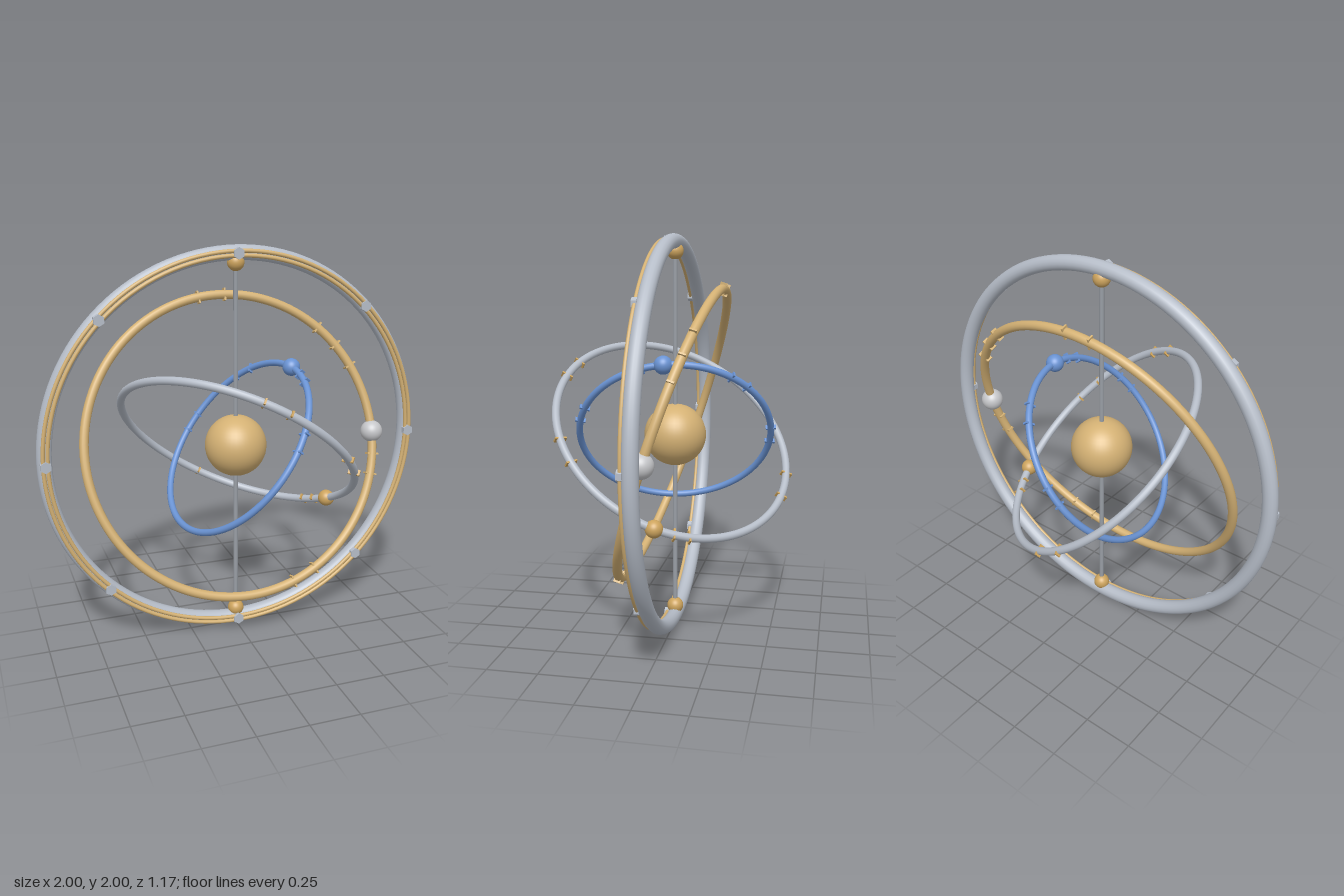
import * as THREE from 'three';

const mat = (name, color) => Object.assign(new THREE.MeshStandardMaterial({ color }), { name });
const rad = THREE.MathUtils.degToRad;

export function createModel() {
  const silver = mat('silver', 0xb6bdc8);
  const gold = mat('gold', 0xd4b174);
  const amber = mat('amber', 0xcda45e);
  const blue = mat('blue', 0x6a93d3);
  const pearl = mat('pearl', 0xc6c7ca);
  const steel = mat('steel', 0x989da4);

  const model = new THREE.Group();
  model.name = 'armillaryOrrery';
  const core = new THREE.Group();
  core.name = 'core';
  core.position.set(0, 1, 0.003);
  model.add(core);

  const add = (parent, name, geometry, material, x = 0, y = 0, z = 0) => {
    const mesh = new THREE.Mesh(geometry, material);
    mesh.name = name;
    mesh.position.set(x, y, z);
    parent.add(mesh);
    return mesh;
  };
  const ball = (r) => new THREE.SphereGeometry(r, 40, 24);
  const torus = (R, r) => new THREE.TorusGeometry(R, r, 16, 128);

  // Outer frame with two raised trim bands on its front
  add(core, 'outerFrame', torus(0.963, 0.037), silver);
  for (const R of [0.951, 0.973]) add(core, 'frameTrim', torus(R, 0.01), gold, 0, 0, 0.039);

  // Eight hexagonal studs over the trim
  const hex = new THREE.CylinderGeometry(0.029, 0.029, 0.025, 6).toNonIndexed();
  hex.computeVertexNormals();
  hex.rotateX(Math.PI / 2);
  for (let i = 0; i < 8; i++) {
    const a = (i * Math.PI) / 4;
    add(core, 'frameStud', hex, silver, 0.962 * Math.cos(a), 0.962 * Math.sin(a), 0.042);
  }

  // Axis rod, its end bearings and the central sun
  add(core, 'axisRod', new THREE.CylinderGeometry(0.012, 0.012, 1.86, 20), steel);
  for (const s of [-1, 1]) add(core, 'axisBearing', ball(0.042), amber, 0, s * 0.916, 0);
  add(core, 'sun', ball(0.157), gold);

  // Tilted orbit ring with a planet on its horizontal axis and paired tick marks
  const orbit = (name, o) => {
    const ring = new THREE.Group();
    ring.name = name;
    ring.rotation.set(rad(o.tilt), 0, rad(o.turn), 'ZXY');
    core.add(ring);
    add(ring, name + 'Band', torus(o.R, o.tube), o.material);
    add(ring, name + 'Planet', ball(o.planet), o.planetMaterial, o.R, 0, 0);
    const tick = new THREE.BoxGeometry(2 * o.tube + 0.018, 0.009, o.tube * 1.5);
    for (const deg of o.ticks) {
      const a = rad(deg);
      const m = add(ring, name + 'Tick', tick, o.tickMaterial, o.R * Math.cos(a), o.R * Math.sin(a), 0);
      m.rotation.z = a;
    }
  };

  orbit('outerOrbit', {
    R: 0.77, tube: 0.023, tilt: -18, turn: 0, material: gold, tickMaterial: gold,
    planet: 0.058, planetMaterial: pearl, ticks: [99, 88.5, 48, 38, 28, -9, -17, -62, -72],
  });
  orbit('middleOrbit', {
    R: 0.624, tube: 0.02, tilt: 62.7, turn: -34.2, material: silver, tickMaterial: amber,
    planet: 0.043, planetMaterial: amber, ticks: [112, 100, 60, 47, -9, -16, -77, -92],
  });
  orbit('innerOrbit', {
    R: 0.486, tube: 0.017, tilt: -81.7, turn: 52.1, material: blue, tickMaterial: blue,
    planet: 0.045, planetMaterial: blue, ticks: [102, 90, 52, 40, -12, -21, -60, -71],
  });

  return model;
}
